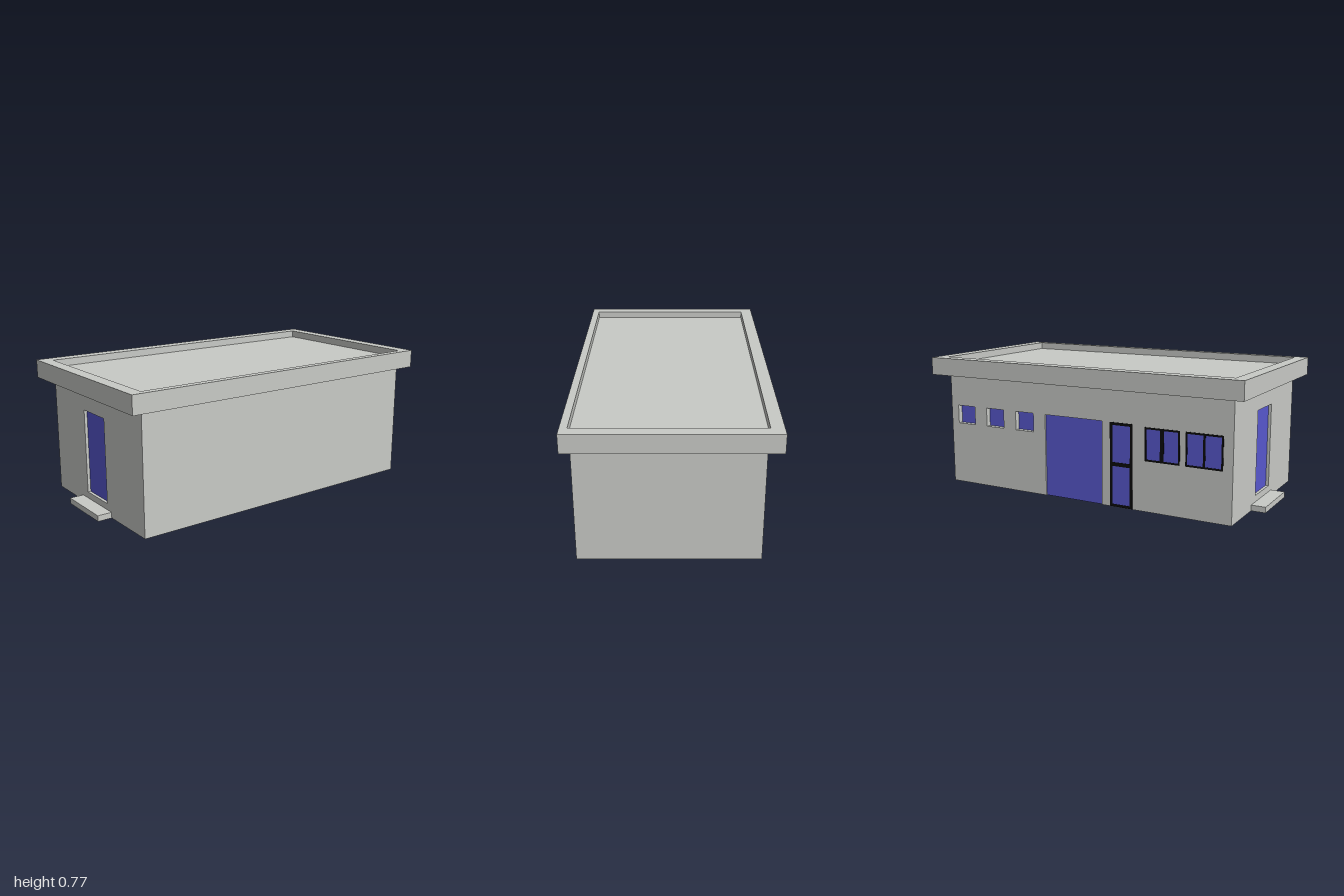
import * as THREE from 'three';

const mat = (name, color) => {
  const m = new THREE.MeshStandardMaterial({ color });
  m.name = name;
  return m;
};

export function createModel() {
  const concrete = mat('concrete', 0xc8cac6);
  const glass = mat('blueGlass', 0x5858ce);
  const frameBlack = mat('blackFrame', 0x0a0a0a);
  const model = new THREE.Group();
  model.name = 'building';

  const add = (name, geometry, material) => {
    const mesh = new THREE.Mesh(geometry, material);
    mesh.name = name;
    model.add(mesh);
    return mesh;
  };
  // box given by its limits on each axis
  const box = (name, material, x0, x1, y0, y1, z0, z1) =>
    add(name, new THREE.BoxGeometry(x1 - x0, y1 - y0, z1 - z0), material)
      .position.set((x0 + x1) / 2, (y0 + y1) / 2, (z0 + z1) / 2);
  const rect = (Type, [x0, x1, y0, y1]) => new Type([
    [x0, y0], [x1, y0], [x1, y1], [x0, y1],
  ].map(([x, y]) => new THREE.Vector2(x, y)));
  // flat panel with rectangular openings
  const panel = (name, material, shape, holes, depth) => {
    shape.holes = holes.map((h) => rect(THREE.Path, h));
    return add(name, new THREE.ExtrudeGeometry(shape, { depth, bevelEnabled: false }), material);
  };

  const W = -0.917, E = 0.92, N = -0.475, S = 0.505, H = 0.67;
  const backDepth = 0.035, sideDepth = 0.02;

  // solid core behind the two walls with openings
  box('body', concrete, W + sideDepth, E, 0, H, N + backDepth, S);

  // back wall, notched at the bottom for the wide door
  const gate = [-0.145, 0.232, 0, 0.48];
  const smallWindows = [0.314, 0.528, 0.743].map((x) => [x, x + 0.126, 0.37, 0.48]);
  const backShape = new THREE.Shape([
    [W, 0], [gate[0], 0], [gate[0], gate[3]], [gate[1], gate[3]],
    [gate[1], 0], [E, 0], [E, H], [W, H],
  ].map(([x, y]) => new THREE.Vector2(x, y)));
  panel('backWall', concrete, backShape, smallWindows, backDepth).position.z = N;
  box('wideDoor', glass, ...gate, N + 0.008, N + backDepth);
  for (const w of smallWindows)
    box('smallWindow', glass, ...w, N + backDepth - 0.004, N + backDepth);

  // side wall with a recessed door and a step in front
  const door = [-0.117, 0.11, 0.07, 0.55];
  const side = panel('sideWall', concrete, rect(THREE.Shape, [N + backDepth, S, 0, H]), [door], sideDepth);
  side.rotation.y = -Math.PI / 2;
  side.position.x = W + sideDepth;
  box('sideDoor', glass, W + sideDepth - 0.003, W + sideDepth, door[2], door[3], door[0], door[1]);
  box('step', concrete, -1, W, 0, 0.033, -0.18, 0.155);

  // black frames with glass panes, laid on the back wall
  const framed = (name, outer, panes) => {
    panel(name + 'Frame', frameBlack, rect(THREE.Shape, outer), panes, 0.003).position.z = N - 0.003;
    for (const p of panes) box(name + 'Pane', glass, ...p, N - 0.0015, N);
  };
  framed('glazedDoor', [-0.338, -0.197, 0.002, 0.48], [
    [-0.322, -0.213, 0.016, 0.234],
    [-0.322, -0.213, 0.256, 0.465],
  ]);
  framed('firstWindow', [-0.619, -0.412, 0.285, 0.472], [
    [-0.609, -0.526, 0.295, 0.462],
    [-0.503, -0.422, 0.295, 0.462],
  ]);
  framed('secondWindow', [-0.863, -0.652, 0.285, 0.472], [
    [-0.853, -0.764, 0.295, 0.462],
    [-0.751, -0.662, 0.295, 0.462],
  ]);

  // roof: raised rim around a sunken deck (shape y becomes -z)
  const rim = panel('roofRim', concrete, rect(THREE.Shape, [-0.992, 0.997, -0.551, 0.551]),
    [[-0.92, 0.925, -0.51, 0.48]], 0.104);
  rim.rotation.x = -Math.PI / 2;
  rim.position.y = H;
  box('roofDeck', concrete, -0.92, 0.925, H, 0.732, -0.48, 0.51);

  return model;
}
